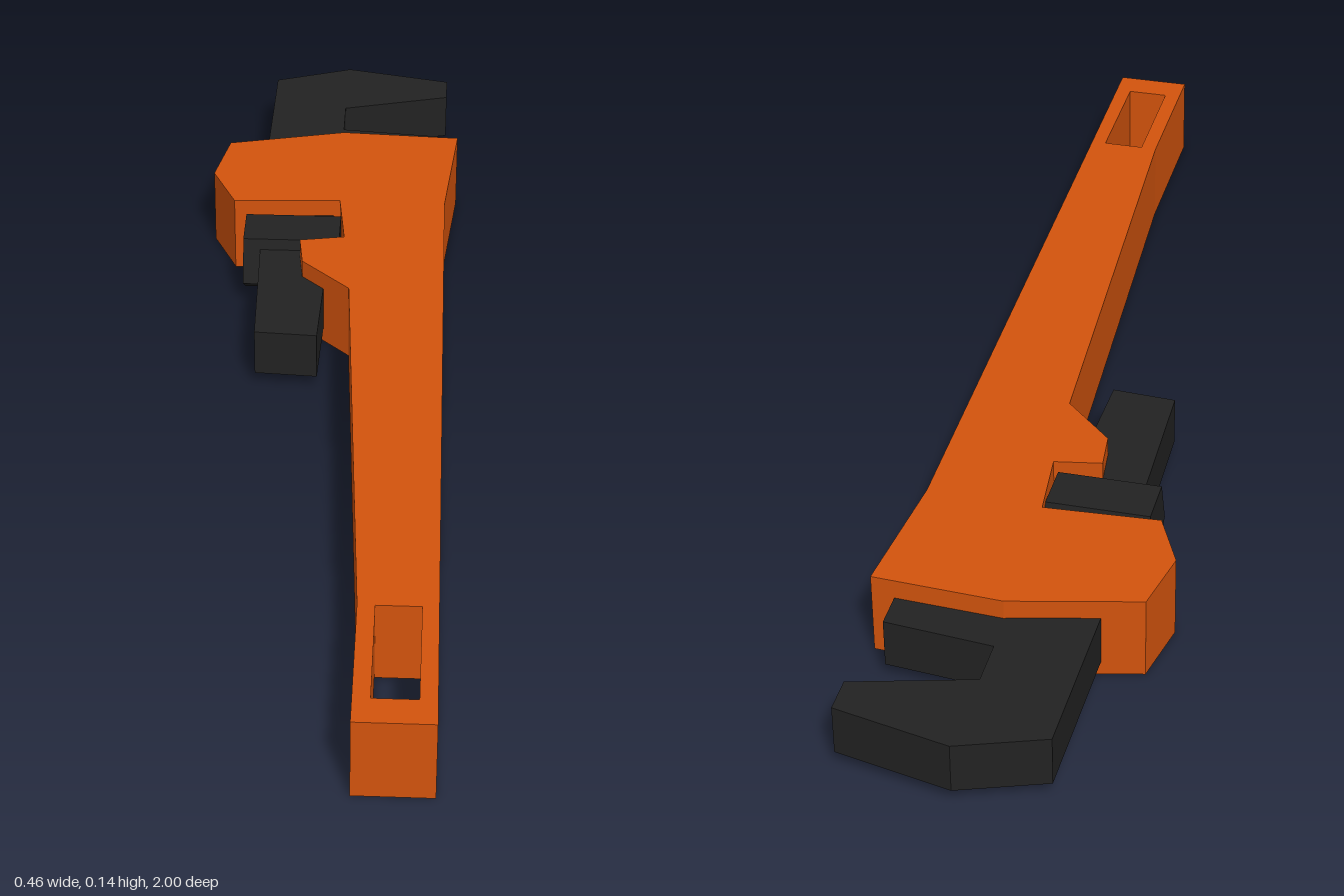
import * as THREE from 'three';

const orange = new THREE.MeshStandardMaterial({ color: 0xd4540d, flatShading: true });
const black = new THREE.MeshStandardMaterial({ color: 0x222222, flatShading: true });

// Flat plate lying on the ground plane: outline in [x, z], from height y0 to y1
function plate(name, outline, y0, y1, material, hole) {
  const toPoints = (list) => list.map(([x, z]) => new THREE.Vector2(x, -z));
  const shape = new THREE.Shape(toPoints(outline));
  if (hole) shape.holes.push(new THREE.Path(toPoints(hole)));
  const geometry = new THREE.ExtrudeGeometry(shape, { depth: y1 - y0, bevelEnabled: false });
  geometry.rotateX(-Math.PI / 2).translate(0, y0, 0);
  const mesh = new THREE.Mesh(geometry, material);
  mesh.name = name;
  return mesh;
}

export function createModel() {
  const wrench = new THREE.Group();
  wrench.name = 'pipeWrench';

  // Handle and head housing in one piece, with a hanging slot at the end
  wrench.add(plate('handle', [
    [-0.205, -0.643], [0.01, -0.692], [0.228, -0.68], [0.206, -0.44],
    [0.215, 1], [0.087, 1], [0.087, 0.73], [0.04, -0.147],
    [-0.047, -0.232], [-0.055, -0.303], [0.025, -0.317], [0.012, -0.443],
    [-0.183, -0.433], [-0.228, -0.53],
  ], 0, 0.145, orange, [
    [0.115, 0.732], [0.115, 0.946], [0.187, 0.946], [0.187, 0.732],
  ]));

  // Sliding hook jaw with its long shank
  wrench.add(plate('hookJaw', [
    [-0.133, -0.95], [0.01, -1], [0.205, -0.957], [0.205, -0.895],
    [0.007, -0.843], [0.007, -0.65], [-0.012, -0.043], [-0.122, -0.05],
    [-0.137, -0.65],
  ], 0.025, 0.112, black));

  // Fixed heel jaw seated in the head
  wrench.add(plate('heelJaw', [
    [0, -0.762], [0.19, -0.743], [0.19, -0.66], [0, -0.66],
  ], 0.026, 0.111, black));

  // Five-sided adjusting wheel, lying across the shank
  const wheel = new THREE.CylinderGeometry(0.0723, 0.0723, 0.175, 5);
  wheel.rotateZ(Math.PI / 2);
  // Turn it so that one flat side faces up
  const pos = wheel.attributes.position;
  let lowest = 0, lowestAngle = 0;
  for (let i = 0; i < pos.count; i++) {
    if (Math.hypot(pos.getY(i), pos.getZ(i)) > 0.07 && pos.getY(i) < lowest) {
      lowest = pos.getY(i);
      lowestAngle = Math.atan2(pos.getZ(i), pos.getY(i));
    }
  }
  wheel.rotateX(Math.PI - lowestAngle);
  const nut = new THREE.Mesh(wheel, black);
  nut.name = 'adjustingWheel';
  nut.position.set(-0.072, 0.0723, -0.367);
  wrench.add(nut);

  return wrench;
}
